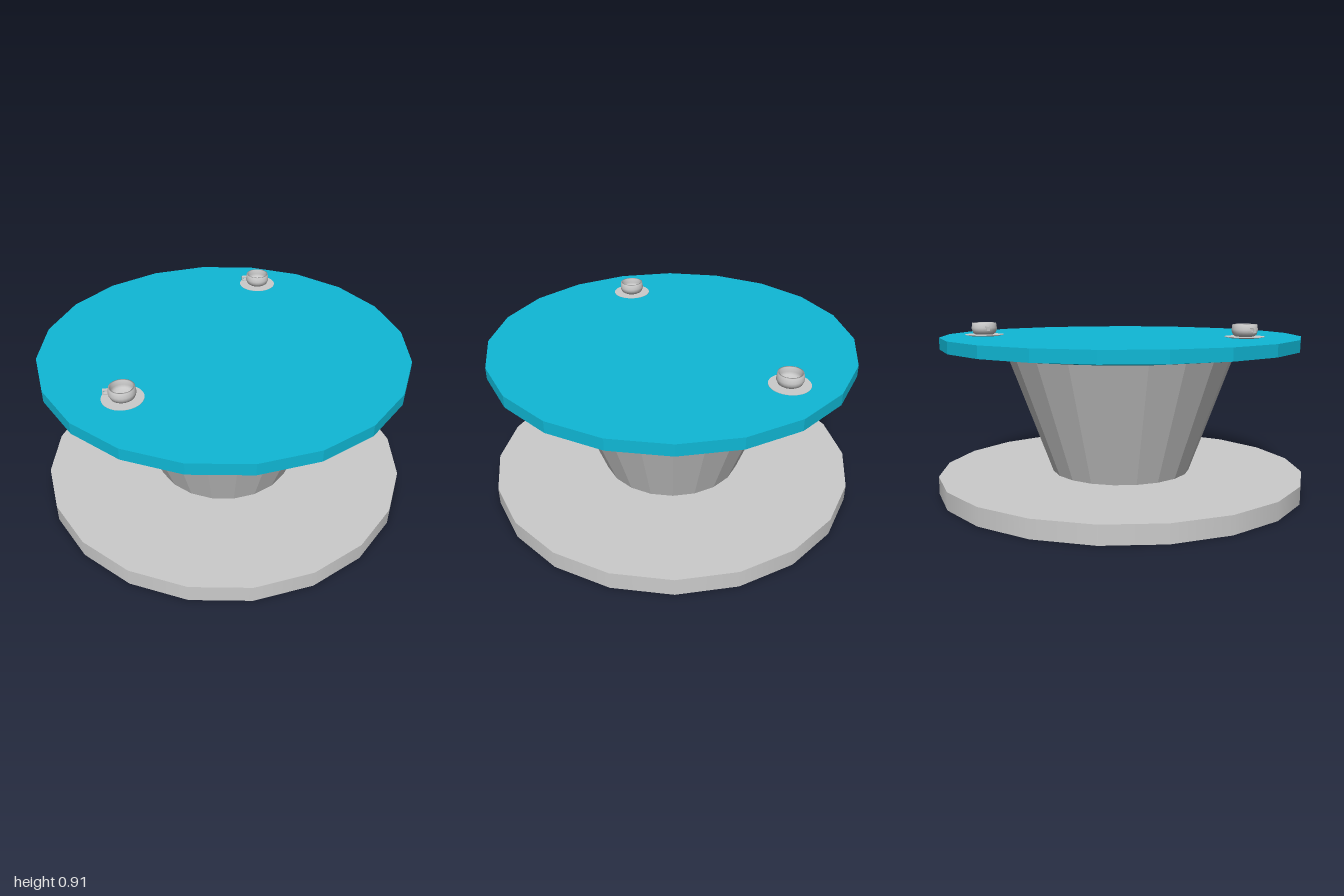
import * as THREE from 'three';

const SIDES = 20;
const grey = (opts = {}) => new THREE.MeshStandardMaterial({ color: 0xcccccc, ...opts });

function add(parent, name, geometry, material, x = 0, y = 0, z = 0) {
  const mesh = new THREE.Mesh(geometry, material);
  mesh.name = name;
  mesh.position.set(x, y, z);
  parent.add(mesh);
  return mesh;
}

const lathe = (points, sides) =>
  new THREE.LatheGeometry(points.map(([r, y]) => new THREE.Vector2(r, y)), sides);

// Saucer and cup with a squared handle pointing to -x; y = 0 is the table surface
function createCup(x, y, z) {
  const cup = new THREE.Group();
  cup.name = 'cupAndSaucer';
  cup.position.set(x, y, z);

  // Thin saucer with a slightly raised rim
  add(cup, 'saucer', lathe([[0, 0.002], [0.075, 0.002], [0.103, 0.008], [0.103, 0.010], [0, 0.010]], 32),
    grey({ flatShading: true, side: THREE.DoubleSide }));

  // Hollow bowl: outer wall up, over the lip and down to the inner floor
  add(cup, 'bowl', lathe([
    [0, 0.009], [0.045, 0.009], [0.059, 0.018], [0.066, 0.034], [0.067, 0.046], [0.063, 0.072],
    [0.055, 0.072], [0.056, 0.046], [0.052, 0.032], [0.042, 0.022], [0, 0.022],
  ], 24), grey({ side: THREE.DoubleSide }));

  // Handle: two short arms joined by an upright
  const metal = grey();
  for (const h of [0.034, 0.053])
    add(cup, 'handleArm', new THREE.BoxGeometry(0.034, 0.006, 0.018), metal, -0.075, h, -0.01);
  add(cup, 'handleGrip', new THREE.BoxGeometry(0.006, 0.025, 0.018), metal, -0.089, 0.0435, -0.01);
  return cup;
}

export function createModel() {
  const model = new THREE.Group();
  model.name = 'roundTable';

  // Wide foot disc
  add(model, 'base', new THREE.CylinderGeometry(1, 1, 0.095, SIDES), grey(), 0, 0.0475, 0);

  // Flared pedestal
  add(model, 'pedestal', new THREE.CylinderGeometry(0.62, 0.38, 0.65, SIDES),
    grey({ flatShading: true }), 0, 0.415, 0);

  // Table top: upright rim over a shallow tapered underside
  add(model, 'tableTop', lathe([[0, 0.737], [0.62, 0.737], [0.97, 0.778], [0.97, 0.84], [0, 0.84]], SIDES),
    new THREE.MeshStandardMaterial({ color: 0x0fb8d6, flatShading: true }));

  for (const [x, z] of [[-0.54, 0.42], [0.30, -0.675]]) model.add(createCup(x, 0.84, z));
  return model;
}
